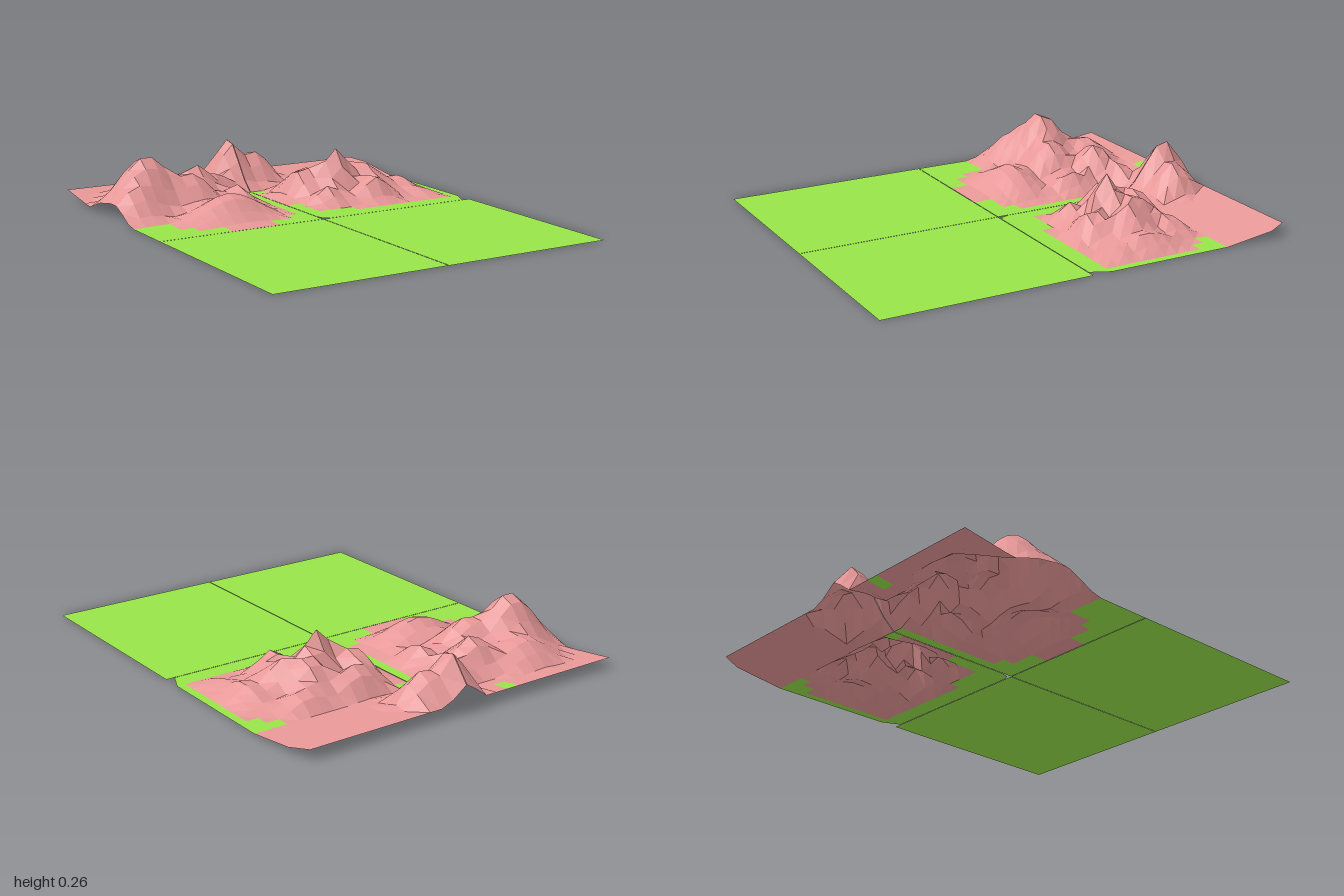
import * as THREE from 'three';

const HALF_X = 0.83, SEAM_Z = 0.02, GAP = 0.001, CELL = 0.06;

// hills: x, z, height, radius x, radius z
const HILLS = [
  // tall left hill with its shoulders, back slope and front hump
  [-0.62, -0.56, 0.265, 0.18, 0.16], [-0.72, -0.45, 0.15, 0.14, 0.13], [-0.42, -0.5, 0.175, 0.15, 0.14],
  [-0.3, -0.68, 0.175, 0.13, 0.12], [-0.52, -0.76, 0.14, 0.2, 0.15], [-0.35, -0.24, 0.12, 0.2, 0.13],
  [-0.17, -0.48, 0.1, 0.1, 0.12], [-0.16, -0.74, 0.11, 0.11, 0.1],
  // back peak astride the seam
  [0, -0.89, 0.236, 0.1, 0.14], [0.13, -0.86, 0.17, 0.11, 0.11],
  // rugged right hill
  [0.31, -0.37, 0.255, 0.1, 0.09], [0.41, -0.45, 0.17, 0.11, 0.12], [0.17, -0.45, 0.155, 0.1, 0.13],
  [0.5, -0.36, 0.145, 0.1, 0.13], [0.43, -0.22, 0.13, 0.12, 0.09], [0.2, -0.25, 0.1, 0.09, 0.08],
  [0.65, -0.36, 0.085, 0.1, 0.16], [0.25, -0.57, 0.13, 0.14, 0.07], [0.5, -0.57, 0.09, 0.13, 0.07],
  [0.68, -0.18, 0.045, 0.1, 0.08],
];

// repeatable pseudo-random value in -1..1
function noise(x, z) {
  const s = Math.sin(Math.round(x * 100) * 12.99 + Math.round(z * 100) * 78.23) * 43758.5;
  return (s - Math.floor(s)) * 2 - 1;
}

function heightAt(x, z) {
  let sum = 0;
  for (const [hx, hz, h, rx, rz] of HILLS) {
    const g = h * Math.exp(-(((x - hx) / rx) ** 2) - ((z - hz) / rz) ** 2);
    sum += g ** 3.5;
  }
  let h = Math.max(0, Math.pow(sum, 1 / 3.5) - 0.012) * 1.04;
  // jagged surface on the right hill
  if (x > 0.06 && z > -0.68) h *= 1 + 0.07 * noise(x, z);
  // flat path along the seam
  if (z > -0.68) h *= THREE.MathUtils.clamp((Math.abs(x + 0.015) - 0.035) / 0.09, 0, 1);
  // back strip tilts upward
  const ramp = Math.max(0, -z - 0.67) * 0.136;
  return Math.max(h, ramp);
}

// grid lines from a to b on a shared spacing, merging slivers at the ends
function gridLines(a, b, origin) {
  const lines = [a];
  for (let k = -18; k <= 18; k++) {
    const v = origin + k * CELL;
    if (v > a + 0.035 && v < b - 0.035) lines.push(v);
  }
  return [...lines, b];
}

// one terrain tile, split into flat grass cells and raised hill cells
function hillTile(name, x0, x1, mats, clipped) {
  const xs = gridLines(x0, x1, 0.01), zs = gridLines(-1, SEAM_Z - GAP, -0.01);
  const nx = xs.length - 1, nz = zs.length - 1;
  const grass = [], hill = [];
  const point = (i, j) => [xs[i], heightAt(xs[i], zs[j]), zs[j]];
  for (let j = 0; j < nz; j++) {
    for (let i = 0; i < nx; i++) {
      const a = point(i, j), b = point(i, j + 1), c = point(i + 1, j + 1), d = point(i + 1, j);
      const flat = Math.max(a[1], b[1], c[1], d[1]) < 0.005;
      const hollow = j === 0 && a[0] > -0.3 && d[0] < -0.2;
      const out = flat || hollow ? grass : hill;
      const outer = clipped && i === nx - 1;
      if (outer && j === 0) out.push(...a, ...b, ...c);
      else if (outer && j === nz - 1) out.push(...a, ...b, ...d);
      else if (clipped && i === 0 && j === nz - 1) {
        // small notch where the four tiles meet
        const p = [a[0], 0, b[2] - 0.05], q = [b[0] + 0.035, 0, b[2]], m = [b[0] + 0.01, 0, b[2] - 0.015];
        out.push(...a, ...p, ...d, ...p, ...m, ...d, ...m, ...q, ...d, ...q, ...c, ...d);
      } else out.push(...a, ...b, ...c, ...a, ...c, ...d);
    }
  }
  const tile = new THREE.Group();
  tile.name = name;
  for (const [label, data, mat] of [['Grass', grass, mats.grass], ['Hills', hill, mats.hill]]) {
    const geo = new THREE.BufferGeometry();
    geo.setAttribute('position', new THREE.Float32BufferAttribute(data, 3));
    geo.computeVertexNormals();
    const mesh = new THREE.Mesh(geo, mat);
    mesh.name = name + label;
    tile.add(mesh);
  }
  return tile;
}

export function createModel() {
  const model = new THREE.Group();
  model.name = 'terrain';
  const material = (color) =>
    new THREE.MeshStandardMaterial({ color, flatShading: true, side: THREE.DoubleSide });
  const mats = { grass: material(0x97e448), hill: material(0xe89898) };

  // rear hilly tiles
  model.add(hillTile('rearRightTile', -HALF_X, -GAP, mats, false));
  model.add(hillTile('rearLeftTile', GAP, HALF_X, mats, true));

  // front flat tiles
  for (const side of [-1, 1]) {
    const depth = 1 - SEAM_Z - GAP;
    const geo = new THREE.PlaneGeometry(HALF_X - GAP, depth).rotateX(-Math.PI / 2);
    const tile = new THREE.Mesh(geo, mats.grass);
    tile.name = side > 0 ? 'frontLeftTile' : 'frontRightTile';
    tile.position.set((side * (HALF_X + GAP)) / 2, 0, 1 - depth / 2);
    model.add(tile);
  }
  return model;
}
